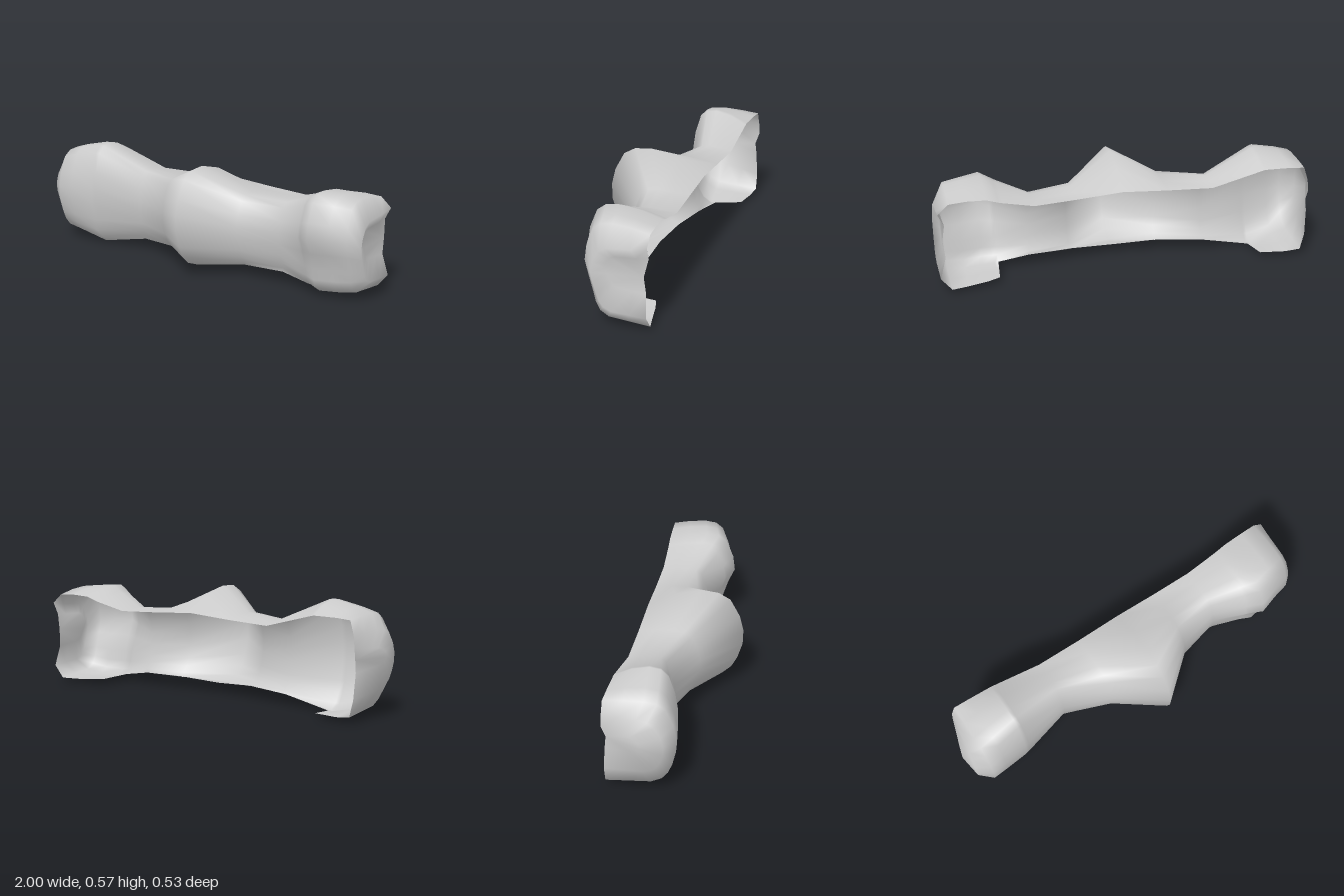
import * as THREE from 'three';

// Shell stations from -x to +x: x, top, bottom, front z, top rim y, bottom rim y, bottom rim z
const STATIONS = [
  [-1.0, 0.36, 0.27, -0.07, 0.37, 0.25, -0.25],
  [-0.98, 0.44, 0.15, 0.04, 0.43, 0.12, -0.26],
  [-0.91, 0.515, 0.055, 0.09, 0.5, 0.035, -0.26],
  [-0.83, 0.54, 0.035, 0.08, 0.505, 0.025, -0.25],
  [-0.7, 0.57, 0.003, 0.06, 0.505, 0.025, -0.23],
  [-0.68, 0.565, 0.006, 0.055, 0.5, 0.01, -0.08],
  [-0.42, 0.45, 0.06, -0.02, 0.43, 0.06, -0.07],
  [-0.18, 0.46, 0.068, 0.08, 0.44, 0.07, -0.03],
  [0.055, 0.572, 0.047, 0.268, 0.455, 0.055, 0.0],
  [0.29, 0.447, 0.065, 0.06, 0.44, 0.067, -0.02],
  [0.51, 0.437, 0.067, 0.003, 0.43, 0.067, -0.04],
  [0.67, 0.5, 0.04, 0.08, 0.465, 0.04, -0.03],
  [0.69, 0.51, 0.037, 0.09, 0.47, 0.035, -0.2],
  [0.75, 0.538, 0.025, 0.125, 0.49, 0.03, -0.22],
  [0.85, 0.53, 0.03, 0.09, 0.495, 0.025, -0.24],
  [0.94, 0.52, 0.045, 0.065, 0.49, 0.025, -0.26],
  [0.995, 0.42, 0.1, 0.015, 0.44, 0.09, -0.26],
  [0.965, 0.37, 0.21, -0.04, 0.38, 0.2, -0.25],
];

// Section over the front from crown to base: depth and height fractions
const SECTION = [
  [0.56, 1], [0.74, 0.985], [0.86, 0.92], [0.96, 0.74], [1, 0.58],
  [0.995, 0.42], [0.94, 0.25], [0.88, 0.14], [0.79, 0.055], [0.64, 0],
];

function sectionPoints([x, top, bottom, front, rimTop, rimBottom, rimZ]) {
  const back = -0.24 - 0.025 * x * x;
  // The -x end slants inward at the back; the +x lobe is recessed low on its front
  const shift = 0.7 * Math.max(0, -0.91 - x);
  const recess = 0.055 * Math.max(0, 1 - Math.abs(x - 0.78) / 0.28);
  const pts = SECTION.map(([f, h]) => {
    let z = back + f * (front - back);
    if (h < 0.6) z = Math.max(z - recess * Math.sin(Math.PI * h / 0.6), rimZ);
    return [x + shift * (1 - f), bottom + h * (top - bottom), z];
  });
  const crown = pts[0], base = pts[pts.length - 1];
  const rimA = [x + shift, rimTop, back], rimB = [x + shift, rimBottom, rimZ];
  const mid = (a, b) => a.map((v, i) => (v + b[i]) / 2);
  const roof = mid(rimA, crown);
  roof[1] = rimTop + 0.68 * (top - rimTop);
  return [rimA, roof, ...pts, mid(base, rimB), rimB];
}

export function createModel() {
  const group = new THREE.Group();
  const rings = STATIONS.map(sectionPoints);
  // Dented end walls: each end closes on a point at the back edge
  const n = rings[0].length;
  rings.unshift(Array(n).fill([-0.93, 0.31, -0.245]));
  rings.push(Array(n).fill([0.975, 0.29, -0.242]));

  const index = [];
  for (let i = 0; i < rings.length - 1; i++) {
    for (let j = 0; j < n - 1; j++) {
      const a = i * n + j, b = a + 1, c = a + n, d = c + 1;
      if (i < rings.length - 2) index.push(a, d, c);
      if (i > 0) index.push(a, b, d);
    }
  }
  const geometry = new THREE.BufferGeometry();
  geometry.setAttribute('position', new THREE.Float32BufferAttribute(rings.flat(2), 3));
  geometry.setIndex(index);
  geometry.computeVertexNormals();

  // End points share one normal so the walls stay smooth
  const normals = geometry.attributes.normal;
  for (let j = 0; j < n; j++) {
    normals.setXYZ(j, -1, 0, 0);
    normals.setXYZ((rings.length - 1) * n + j, 1, 0, 0);
  }

  const shell = new THREE.Mesh(geometry, new THREE.MeshStandardMaterial({ color: 0xcccccc, side: THREE.DoubleSide }));
  shell.name = 'openBackedRockShell';
  group.add(shell);
  return group;
}
